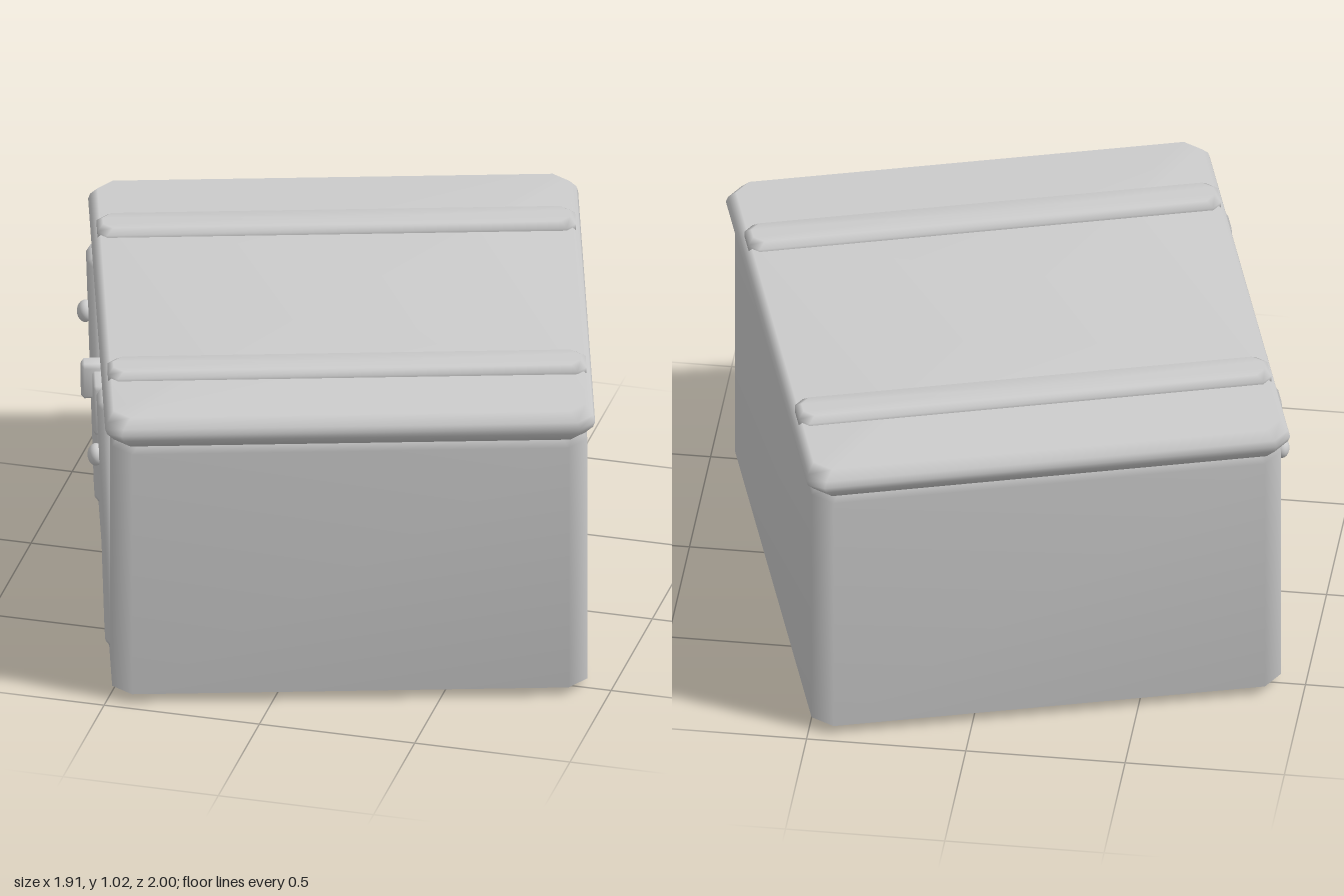
import * as THREE from 'three';

const grey = new THREE.MeshStandardMaterial({ color: 0xcccccc });
grey.name = 'plain grey';

// Smooth-shaded block with cut corners, lofted through rings of [height, inset]
function bevelBlock(name, halfX, halfZ, cut, rings) {
  const pos = [], idx = [];
  for (const [y, inset] of rings) {
    const a = halfX - inset, b = halfZ - inset, p = a - cut, q = b - cut;
    for (const [x, z] of [[a, q], [a, -q], [p, -b], [-p, -b], [-a, -q], [-a, q], [-p, b], [p, b]]) pos.push(x, y, z);
  }
  const n = rings.length, bottom = n * 8, top = bottom + 1;
  pos.push(0, rings[0][0], 0, 0, rings[n - 1][0], 0);
  for (let i = 0; i < 8; i++) {
    const j = (i + 1) % 8;
    for (let r = 0; r < n - 1; r++) {
      const lo = r * 8, hi = lo + 8;
      idx.push(lo + i, lo + j, hi + j, lo + i, hi + j, hi + i);
    }
    idx.push(bottom, j, i, top, (n - 1) * 8 + i, (n - 1) * 8 + j);
  }
  const geo = new THREE.BufferGeometry();
  geo.setAttribute('position', new THREE.Float32BufferAttribute(pos, 3));
  geo.setIndex(idx);
  geo.computeVertexNormals();
  const mesh = new THREE.Mesh(geo, grey);
  mesh.name = name;
  return mesh;
}

export function createModel() {
  const group = new THREE.Group();
  group.name = 'chest';

  // Box body and overhanging lid
  group.add(bevelBlock('body', 0.74, 0.80, 0.06, [[0, 0.068], [0.03, 0], [0.87, 0], [0.905, 0.03]]));
  group.add(bevelBlock('lid', 0.763, 0.83, 0.05, [[0.9, 0.028], [0.93, 0.006], [0.95, 0], [0.97, 0.006], [1, 0.028]]));

  for (const side of [-1, 1]) {
    // Straps across the lid
    const lidStrap = bevelBlock('lidStrap', 0.745, 0.069, 0.03, [[0.98, 0], [1.008, 0], [1.025, 0.018]]);
    lidStrap.position.z = side * 0.485;
    group.add(lidStrap);

    // Straps down the latch side, leaning slightly in at the foot
    const sideStrap = bevelBlock('sideStrap', 0.43, 0.069, 0.02, [[0, 0], [0.03, 0], [0.046, 0.016]]);
    sideStrap.position.set(-0.72, 0.49, side * 0.485);
    sideStrap.rotation.z = Math.PI / 2 + 0.03;
    group.add(sideStrap);

    // Round stud on each side strap
    const stud = new THREE.Mesh(new THREE.SphereGeometry(0.035, 20, 12), grey);
    stud.name = 'stud';
    stud.scale.x = 0.75;
    stud.position.set(-0.782, 0.71, side * 0.485);
    group.add(stud);
  }

  // Latch plate with a raised hasp
  const plate = bevelBlock('latchPlate', 0.085, 0.085, 0.012, [[0, 0], [0.038, 0], [0.046, 0.008]]);
  plate.position.set(-0.73, 0.655, 0.01);
  const hasp = bevelBlock('latchHasp', 0.06, 0.033, 0.012, [[0, 0], [0.07, 0], [0.08, 0.008]]);
  hasp.position.set(-0.73, 0.70, -0.05);
  for (const part of [plate, hasp]) {
    part.rotation.z = Math.PI / 2;
    group.add(part);
  }

  // The whole chest stands turned
  group.rotation.y = 0.293;
  const root = new THREE.Group();
  root.add(group);
  return root;
}
